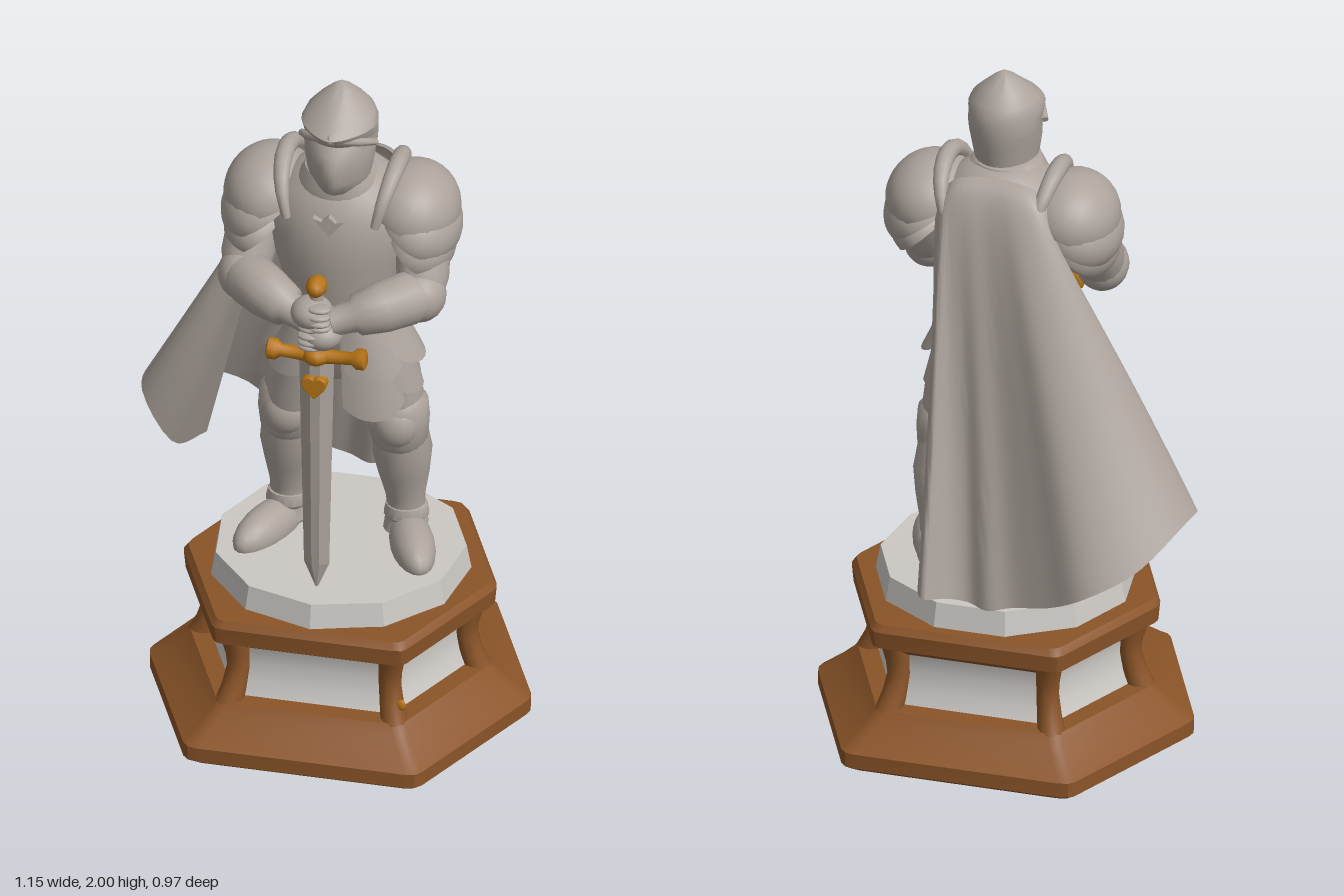
import * as THREE from 'three';
import { toCreasedNormals } from 'three/addons/utils/BufferGeometryUtils.js';

const mat = (name, color, side = THREE.FrontSide) => Object.assign(new THREE.MeshStandardMaterial({ color, side }), { name });
const V = (x, y, z) => new THREE.Vector3(x, y, z);

export function createModel() {
  const armour = mat('grey armour', 0xaca39c, THREE.DoubleSide);
  const stone = mat('pale stone', 0xcbc8c4);
  const wood = mat('brown wood', 0x8a5428);
  const gold = mat('gold', 0xb67414);

  const root = new THREE.Group();
  const knight = new THREE.Group();
  knight.name = 'knight';
  knight.position.x = 0.035;
  root.add(knight);

  const add = (name, geo, material, parent = knight) => {
    const m = new THREE.Mesh(geo, material);
    m.name = name;
    parent.add(m);
    return m;
  };

  // Skin a list of rings; closed rings get end caps
  function skin(rings, closed = true, crease = 0.75) {
    const n = rings[0].length, pos = [], idx = [];
    rings.forEach(r => r.forEach(p => pos.push(p.x, p.y, p.z)));
    for (let i = 0; i < rings.length - 1; i++)
      for (let j = 0; j < (closed ? n : n - 1); j++) {
        const k = (j + 1) % n, a = i * n + j, b = i * n + k;
        idx.push(a, a + n, b, b, a + n, b + n);
      }
    if (closed) [0, rings.length - 1].forEach((i, top) => {
      const c = rings[i].reduce((s, p) => s.add(p), V(0, 0, 0)).divideScalar(n);
      pos.push(c.x, c.y, c.z);
      for (let j = 0; j < n; j++) {
        const a = i * n + j, b = i * n + (j + 1) % n, m = pos.length / 3 - 1;
        top ? idx.push(m, b, a) : idx.push(m, a, b);
      }
    });
    const g = new THREE.BufferGeometry();
    g.setAttribute('position', new THREE.Float32BufferAttribute(pos, 3));
    g.setIndex(idx);
    return toCreasedNormals(g, crease);
  }

  // Stack of oval sections: [y, half width, back z, front z, front pinch]
  const loft = (sections, n = 28) => skin(sections.map(([y, rx, zb, zf, pinch = 0]) =>
    Array.from({ length: n }, (_, j) => {
      const a = j / n * Math.PI * 2, s = Math.sin(a);
      return V(rx * Math.cos(a) * (1 - pinch * Math.max(s, 0) ** 2), y, (zb + zf) / 2 + s * (zf - zb) / 2);
    })));

  // Round limb along points [x, y, z, radius]
  function limb(pts, n = 16, ref = V(0, 0, 1)) {
    const p = pts.map(q => V(q[0], q[1], q[2]));
    return skin(p.map((c, i) => {
      const t = p[Math.min(i + 1, p.length - 1)].clone().sub(p[Math.max(i - 1, 0)]).normalize();
      const u = ref.clone().cross(t).normalize(), v = u.clone().cross(t);
      return Array.from({ length: n }, (_, j) => {
        const a = j / n * Math.PI * 2;
        return c.clone().addScaledVector(u, Math.cos(a) * pts[i][3]).addScaledVector(v, Math.sin(a) * pts[i][3]);
      });
    }), true, 0.9);
  }

  const ball = (name, x, y, z, sx, sy, sz, material = armour, w = 20, h = 14) => {
    const m = add(name, new THREE.SphereGeometry(1, w, h), material);
    m.position.set(x, y, z);
    m.scale.set(sx, sy, sz);
    return m;
  };

  // ---- Hexagonal pedestal ----
  const base = new THREE.Group();
  base.name = 'pedestal';
  base.position.set(0.035, 0, 0.012);
  root.add(base);
  const corners = [[1, 0], [0.6, 0.87], [-0.6, 0.87], [-1, 0], [-0.6, -0.87], [0.6, -0.87]].map(c => V(c[0], 0, c[1]));
  const hexRing = ([y, r]) => corners.flatMap((c, i) => {
    const prev = corners[(i + 5) % 6], next = corners[(i + 1) % 6];
    const a = c.clone().lerp(prev, 0.05), b = c.clone().lerp(next, 0.05);
    const m = a.clone().add(b).multiplyScalar(0.25).addScaledVector(c, 0.5);
    return [a, m, b].map(p => p.multiplyScalar(r).setY(y));
  });
  const hexStack = profile => skin(profile.map(hexRing), true, 0.6);
  add('pedestalFoot', hexStack([[0, 0.53], [0.012, 0.548], [0.055, 0.548], [0.07, 0.525], [0.1, 0.485], [0.13, 0.45], [0.15, 0.432], [0.152, 0.38]]), wood, base);
  add('pedestalPanels', hexStack([[0.14, 0.38], [0.19, 0.355], [0.25, 0.345], [0.3, 0.352], [0.34, 0.37]]), stone, base);
  add('pedestalTop', hexStack([[0.31, 0.375], [0.335, 0.41], [0.35, 0.445], [0.4, 0.45], [0.42, 0.435], [0.422, 0.38]]), wood, base);
  corners.forEach(c => add('pedestalColumn', limb([[0.395, 0.13, 0.04], [0.375, 0.18, 0.035], [0.36, 0.24, 0.032], [0.363, 0.29, 0.034], [0.375, 0.345, 0.038]]
    .map(([r, y, t]) => [c.x * r, y, c.z * r, t]), 12), wood, base));
  // Gold flecks low on the two front columns
  for (const [x, y] of [[0.285, 0.195], [-0.21, 0.168]])
    ball('columnFleck', x - 0.03, y, 0.355, 0.014, 0.017, 0.008, gold, 10, 8);
  const rock = add('rockSlab', toCreasedNormals(new THREE.CylinderGeometry(0.352, 0.368, 0.085, 11), 0.3), stone, base);
  rock.position.y = 0.45;

  // ---- Body ----
  add('breastplate', loft([[1.2, 0.16, -0.12, 0.12], [1.3, 0.148, -0.11, 0.14], [1.38, 0.165, -0.13, 0.152], [1.46, 0.19, -0.155, 0.165],
    [1.54, 0.205, -0.168, 0.168], [1.61, 0.205, -0.165, 0.158], [1.67, 0.175, -0.145, 0.135], [1.71, 0.12, -0.115, 0.105], [1.73, 0.08, -0.085, 0.09]]), armour);
  add('neckGuard', loft([[1.66, 0.13, -0.1, 0.13], [1.7, 0.115, -0.09, 0.135], [1.735, 0.095, -0.075, 0.125], [1.74, 0.08, -0.06, 0.1]]), armour);
  add('belt', loft([[1.255, 0.166, -0.128, 0.15], [1.26, 0.171, -0.132, 0.157], [1.3, 0.166, -0.128, 0.157], [1.305, 0.16, -0.122, 0.15]]), wood);
  const buckle = add('buckle', new THREE.BoxGeometry(0.07, 0.065, 0.03), wood);
  buckle.position.set(0, 1.275, 0.158);
  // Raised chevron on the chest
  const chevron = new THREE.Shape([[-0.045, 0.02], [-0.02, 0.012], [0, 0.03], [0.02, 0.012], [0.045, 0.02], [0, -0.035]].map(p => new THREE.Vector2(...p)));
  const crest = add('chestRelief', new THREE.ExtrudeGeometry(chevron, { depth: 0.02, bevelEnabled: false }), armour);
  crest.position.set(0.003, 1.61, 0.147);

  // ---- Helmet ----
  const helmet = add('helmet', loft([[1.67, 0.07, -0.05, 0.09], [1.7, 0.082, -0.06, 0.145, 0.4], [1.74, 0.09, -0.068, 0.166, 0.5], [1.79, 0.098, -0.078, 0.168, 0.42],
    [1.825, 0.102, -0.084, 0.155, 0.25], [1.85, 0.102, -0.086, 0.135, 0.1], [1.87, 0.104, -0.086, 0.162, 0.25],
    [1.895, 0.107, -0.083, 0.18, 0.4], [1.92, 0.095, -0.07, 0.14, 0.35], [1.95, 0.066, -0.045, 0.095, 0.2], [1.98, 0.032, -0.012, 0.055], [2, 0.003, 0.016, 0.022]]), armour);
  helmet.position.x = 0.007;
  // Arched brow rim over the eye opening
  add('browRim', limb([[-0.098, 1.84, 0.06, 0.01], [-0.068, 1.868, 0.115, 0.013], [0.007, 1.892, 0.163, 0.016], [0.082, 1.868, 0.115, 0.013], [0.112, 1.84, 0.06, 0.01]], 10, V(0, 1, 0)), armour);

  // ---- Hip plates: rounded sectors of a flared skirt ----
  const hipPlate = (a0, a1, top, bottom, out) => skin(Array.from({ length: 7 }, (_, i) => Array.from({ length: 11 }, (_, j) => {
    const u = j / 10, v = i / 6, a = (a0 + (a1 - a0) * u) * Math.PI / 180;
    const drop = bottom + 0.04 * Math.abs(2 * u - 1) ** 2.5;
    const puff = v * out + 0.015 * Math.sin(Math.PI * u);
    return V((0.16 + 0.05 * v + puff) * Math.cos(a), drop + (top - drop) * (1 - v), (0.13 + 0.005 * v + puff) * Math.sin(a) + 0.01 - 0.01 * v);
  })), false);
  for (const s of [1, -1]) for (const [a, b, top, bottom, out] of [
    [-42, 42, 1.26, 1.02, 0.008], [-38, 38, 1.26, 1.12, 0.014], [28, 80, 1.26, 0.97, 0.012], [32, 78, 1.26, 1.09, 0.018], [-92, -30, 1.26, 1.02, 0]])
    add('hipPlate', s > 0 ? hipPlate(a, b, top, bottom, out) : hipPlate(180 - b, 180 - a, top, bottom, out), armour);
  add('hips', loft([[1.04, 0.08, -0.09, 0.05], [1.1, 0.15, -0.11, 0.08], [1.24, 0.16, -0.12, 0.12]]), armour);

  // ---- Limbs, mirrored ----
  for (const s of [1, -1]) {
    const side = pts => pts.map(([x, y, z, r]) => [x * s, y, z, r]);
    add('leg', limb(side([[0.16, 0.5, -0.075, 0.058], [0.167, 0.56, -0.08, 0.052], [0.165, 0.62, -0.077, 0.056], [0.162, 0.7, -0.07, 0.073], [0.16, 0.77, -0.06, 0.084],
      [0.157, 0.84, -0.045, 0.078], [0.15, 0.92, -0.035, 0.08], [0.125, 1.02, -0.03, 0.094], [0.1, 1.16, -0.02, 0.095]]), 20), armour);
    add('kneeBand', limb(side([[0.158, 0.815, -0.04, 0.07], [0.158, 0.83, -0.038, 0.08], [0.155, 0.89, -0.032, 0.088], [0.152, 0.945, -0.03, 0.087], [0.15, 0.96, -0.03, 0.075]]), 20), armour);
    ball('kneeCap', s * 0.157, 0.895, 0.01, 0.066, 0.075, 0.058);
    // Armoured shoe, toes turned out
    const foot = ball('shoe', s * 0.205, 0.505, 0.01, 0.062, 0.068, 0.15);
    foot.rotation.y = s * 0.38;
    ball('heel', s * 0.165, 0.52, -0.085, 0.062, 0.06, 0.06);
    add('ankleCuff', limb(side([[0.168, 0.545, -0.075, 0.055], [0.168, 0.555, -0.075, 0.064], [0.168, 0.585, -0.077, 0.058], [0.168, 0.59, -0.077, 0.05]])), armour);

    // Shoulder armour: overlapping domes rising to an outward-bowed collar
    for (const [x, y, z, rx, ry, rz, tilt] of [[0.205, 1.6, -0.015, 0.13, 0.125, 0.155, 0.4], [0.222, 1.555, -0.008, 0.122, 0.11, 0.158, 0.6], [0.228, 1.5, 0.01, 0.1, 0.1, 0.135, 0.7]]) {
      const dome = add('shoulderPlate', new THREE.SphereGeometry(1, 24, 12, 0, Math.PI * 2, 0, Math.PI * 0.53), armour);
      dome.position.set(s * x, y, z);
      dome.scale.set(rx, ry, rz);
      dome.rotation.z = -s * tilt;
    }
    const collarRing = Array.from({ length: 13 }, (_, i) => {
      const a = Math.PI * i / 12, h = Math.sin(a);
      return [s * (0.125 + 0.035 * h), 1.6 + 0.135 * h, -0.015 - 0.145 * Math.cos(a), 0.012 + 0.014 * h];
    });
    add('shoulderCollar', limb(collarRing, 12, V(1, 0, 0)), armour);

    add('upperArm', limb(side([[0.22, 1.6, -0.01, 0.07], [0.24, 1.5, 0.03, 0.078], [0.25, 1.43, 0.075, 0.074], [0.25, 1.37, 0.11, 0.06]])), armour);
    ball('elbowGuard', s * 0.25, 1.39, 0.11, 0.074, 0.078, 0.08);
    add('forearm', limb(side([[0.27, 1.385, 0.105, 0.055], [0.225, 1.395, 0.145, 0.076], [0.16, 1.385, 0.195, 0.072], [0.1, 1.375, 0.232, 0.06], [0.09, 1.373, 0.237, 0.046], [0.03, 1.36, 0.265, 0.04]]), 16, V(0, 1, 0)), armour);
    // Gloved hand, one above the other, with a row of knuckles
    const hy = s > 0 ? 1.325 : 1.39;
    ball('hand', s * 0.014 - 0.006, hy, 0.268, 0.06, 0.047, 0.06);
    for (const k of [-1.5, -0.5, 0.5, 1.5])
      ball('knuckle', -s * 0.012 - 0.006, hy + k * 0.02, 0.305 - 0.004 * k * k, 0.036, 0.012, 0.026, armour, 12, 8);
  }

  // ---- Sword, point down ----
  const sx = -0.008, sz = 0.262;
  const bladeRing = (y, w, t) => [[w, 0], [w * 0.3, t], [-w * 0.3, t], [-w, 0], [-w * 0.3, -t], [w * 0.3, -t]].map(p => V(sx + p[0], y, sz + p[1]));
  add('blade', skin([bladeRing(0.492, 0.004, 0.004), bladeRing(0.57, 0.036, 0.018), bladeRing(1.24, 0.05, 0.022)], true, 0.2), armour);
  add('grip', new THREE.CylinderGeometry(0.02, 0.02, 0.2, 12), armour).position.set(sx, 1.35, sz);
  ball('pommel', sx, 1.472, sz, 0.03, 0.03, 0.042, gold, 10, 6);
  add('pommelNeck', new THREE.CylinderGeometry(0.014, 0.02, 0.05, 10), gold).position.set(sx, 1.435, sz);
  add('crossguard', limb([[-0.142, 0.02], [-0.137, 0.03], [-0.115, 0.03], [-0.1, 0.018], [-0.04, 0.02], [0, 0.028], [0.04, 0.02], [0.1, 0.018], [0.115, 0.03], [0.137, 0.03], [0.142, 0.02]]
    .map(([x, r]) => [sx + x, 1.246 + 0.1 * Math.abs(x) ** 1.5, sz, r]), 12), gold);
  ball('guardBoss', sx, 1.25, sz, 0.04, 0.032, 0.045, gold, 10, 6);
  // Heart-shaped boss on both faces of the blade
  const heart = new THREE.Shape();
  heart.moveTo(0, -0.035);
  heart.bezierCurveTo(0.02, -0.015, 0.04, 0, 0.03, 0.02);
  heart.bezierCurveTo(0.02, 0.03, 0.005, 0.03, 0, 0.018);
  heart.bezierCurveTo(-0.005, 0.03, -0.02, 0.03, -0.03, 0.02);
  heart.bezierCurveTo(-0.04, 0, -0.02, -0.015, 0, -0.035);
  add('bladeBoss', new THREE.ExtrudeGeometry(heart, { depth: 0.066, bevelSize: 0.003, bevelThickness: 0.006, bevelSegments: 2 }), gold).position.set(sx, 1.162, sz - 0.033);

  // ---- Cape: from the collar over the back to a wind-blown, folded hem ----
  const curve = pts => new THREE.CatmullRomCurve3(pts.map(p => V(...p)));
  const collar = curve([[-0.15, 1.66, -0.1], [-0.08, 1.71, -0.11], [0.035, 1.725, -0.105], [0.14, 1.71, -0.11], [0.19, 1.66, -0.1]]);
  const hem = curve([[-0.36, 0.75, -0.05], [-0.46, 0.68, -0.08], [-0.57, 0.8, -0.15], [-0.565, 0.81, -0.27], [-0.47, 0.72, -0.42], [-0.34, 0.65, -0.48], [-0.22, 0.58, -0.43],
    [-0.1, 0.54, -0.385], [-0.03, 0.52, -0.385], [0.035, 0.52, -0.35], [0.09, 0.53, -0.365], [0.145, 0.55, -0.425], [0.178, 0.55, -0.36], [0.175, 0.56, -0.25]]);
  const cape = [];
  for (let i = 0; i <= 24; i++) {
    const v = (i / 24) ** 1.4, ring = [];
    for (let j = 0; j <= 60; j++) {
      const p = collar.getPoint(j / 60).lerp(hem.getPoint(j / 60), v);
      p.z -= 0.062 * Math.sin(Math.PI * v ** 0.4) * (1 - v);
      ring.push(p);
    }
    cape.push(ring);
  }
  add('cape', skin(cape, false, 1.2), armour, root);

  return root;
}
